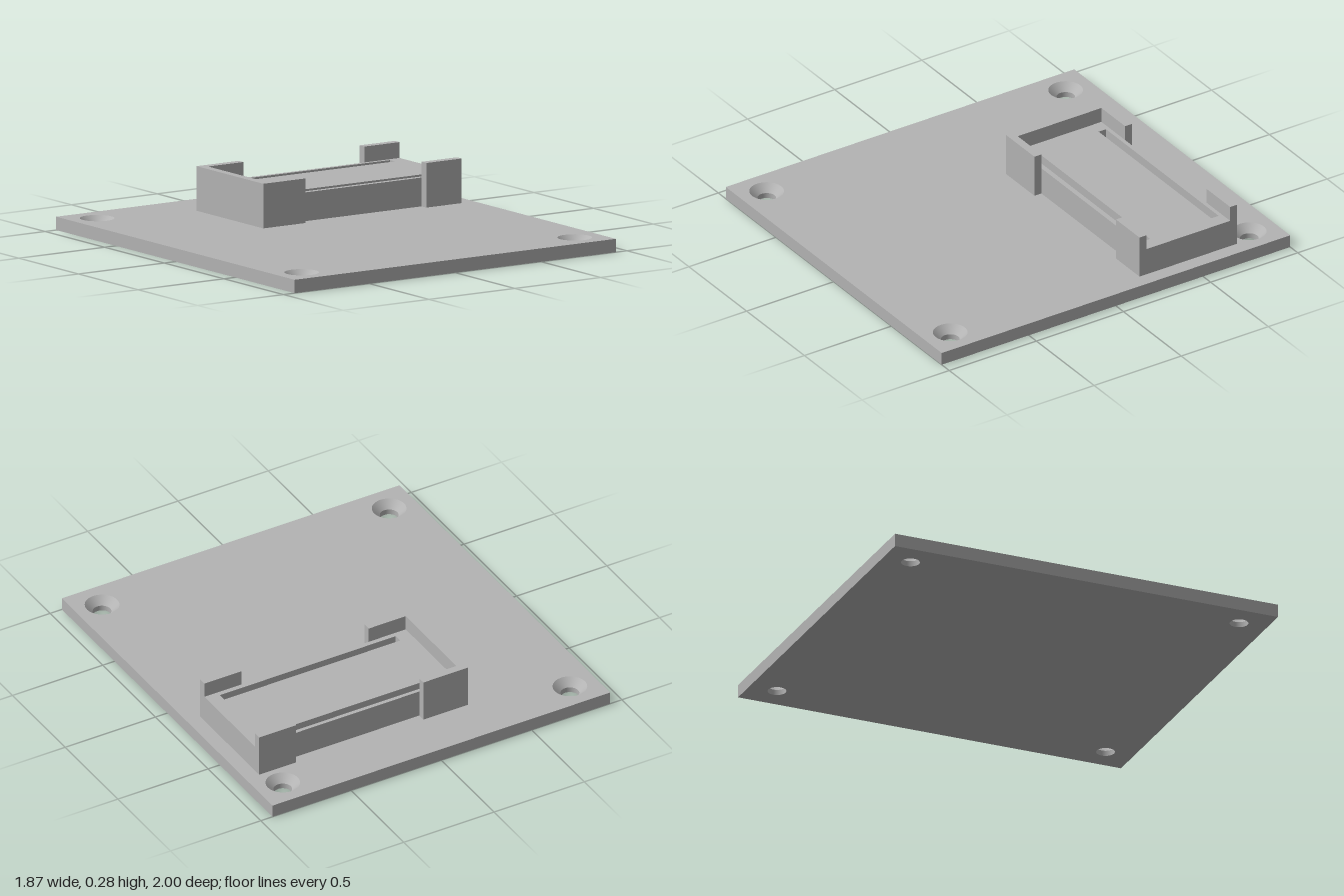
import * as THREE from 'three';

const plateMaterial = new THREE.MeshStandardMaterial({ color: 0xb3b3b3 });
plateMaterial.name = 'plain grey';

const HALF_X = 0.935, HALF_Z = 1, PLATE_TOP = 0.065;
const BORE_R = 0.045, SINK_R = 0.083, BORE_TOP = 0.027;
const HOLES = [-0.795, 0.795].flatMap((x) => [-0.858, 0.858].map((z) => [x, z]));

function outline(points, Type = THREE.Shape) {
  // Plan-view points are [x, z]; z is flipped so the shape can be laid flat
  return new Type(points.map(([x, z]) => new THREE.Vector2(x, -z)));
}

function rect(x0, x1, z0, z1, Type) {
  return outline([[x0, z1], [x1, z1], [x1, z0], [x0, z0]], Type);
}

function addMesh(group, name, geometry) {
  const mesh = new THREE.Mesh(geometry, plateMaterial);
  mesh.name = name;
  group.add(mesh);
  return mesh;
}

// Raise a plan-view shape from the plate's top up to the given height
function raise(shape, top) {
  const geometry = new THREE.ExtrudeGeometry(shape, { depth: top - PLATE_TOP, bevelEnabled: false });
  return geometry.rotateX(-Math.PI / 2).translate(0, PLATE_TOP, 0);
}

function plateFace(radius) {
  const shape = rect(-HALF_X, HALF_X, -HALF_Z, HALF_Z);
  for (const [x, z] of HOLES) {
    shape.holes.push(new THREE.Path().absarc(x, -z, radius, 0, Math.PI * 2, true));
  }
  return new THREE.ShapeGeometry(shape, 24);
}

function buildPlate() {
  const plate = new THREE.Group();
  plate.name = 'basePlate';
  addMesh(plate, 'plateTop', plateFace(SINK_R).rotateX(-Math.PI / 2).translate(0, PLATE_TOP, 0));
  addMesh(plate, 'plateBottom', plateFace(BORE_R).rotateX(Math.PI / 2));

  // Four outer edges
  for (let i = 0; i < 4; i++) {
    const [width, distance] = i % 2 ? [HALF_Z, HALF_X] : [HALF_X, HALF_Z];
    const edge = new THREE.PlaneGeometry(width * 2, PLATE_TOP).translate(0, PLATE_TOP / 2, distance);
    addMesh(plate, 'plateEdge', edge.rotateY(i * Math.PI / 2));
  }

  // Countersunk screw holes; profiles run downward so the walls face inward
  const v = (r, y) => new THREE.Vector2(r, y);
  const sink = new THREE.LatheGeometry([v(SINK_R, PLATE_TOP), v(BORE_R, BORE_TOP)], 48);
  const bore = new THREE.LatheGeometry([v(BORE_R, BORE_TOP), v(BORE_R, 0)], 48);
  for (const [x, z] of HOLES) {
    addMesh(plate, 'countersink', sink).position.set(x, 0, z);
    addMesh(plate, 'screwBore', bore).position.set(x, 0, z);
  }
  return plate;
}

function buildHolder() {
  const holder = new THREE.Group();
  holder.name = 'holder';
  const left = -0.255, right = 0.86, back = -0.705, front = -0.225, wall = 0.04;
  const blockTop = 0.205, clipTop = 0.282;

  // Raised block with two long slots
  const block = rect(left, right, back, front);
  block.holes.push(rect(-0.185, 0.79, -0.685, -0.643, THREE.Path));
  block.holes.push(rect(-0.185, 0.79, -0.292, -0.25, THREE.Path));
  addMesh(holder, 'slottedBlock', raise(block, blockTop));

  // U-shaped end wall wrapping around the block
  const reach = -0.05;
  addMesh(holder, 'endWall', raise(outline([
    [left - wall, front + wall], [reach, front + wall], [reach, front], [left, front],
    [left, back], [reach, back], [reach, back - wall], [left - wall, back - wall],
  ]), clipTop));

  // Guide tabs at the open end
  addMesh(holder, 'frontTab', raise(rect(0.655, right, front, front + wall), clipTop));
  addMesh(holder, 'backTab', raise(rect(0.655, right, back - wall, back), clipTop));
  return holder;
}

export function createModel() {
  const model = new THREE.Group();
  model.name = 'mountingPlate';
  model.add(buildPlate(), buildHolder());
  return model;
}
